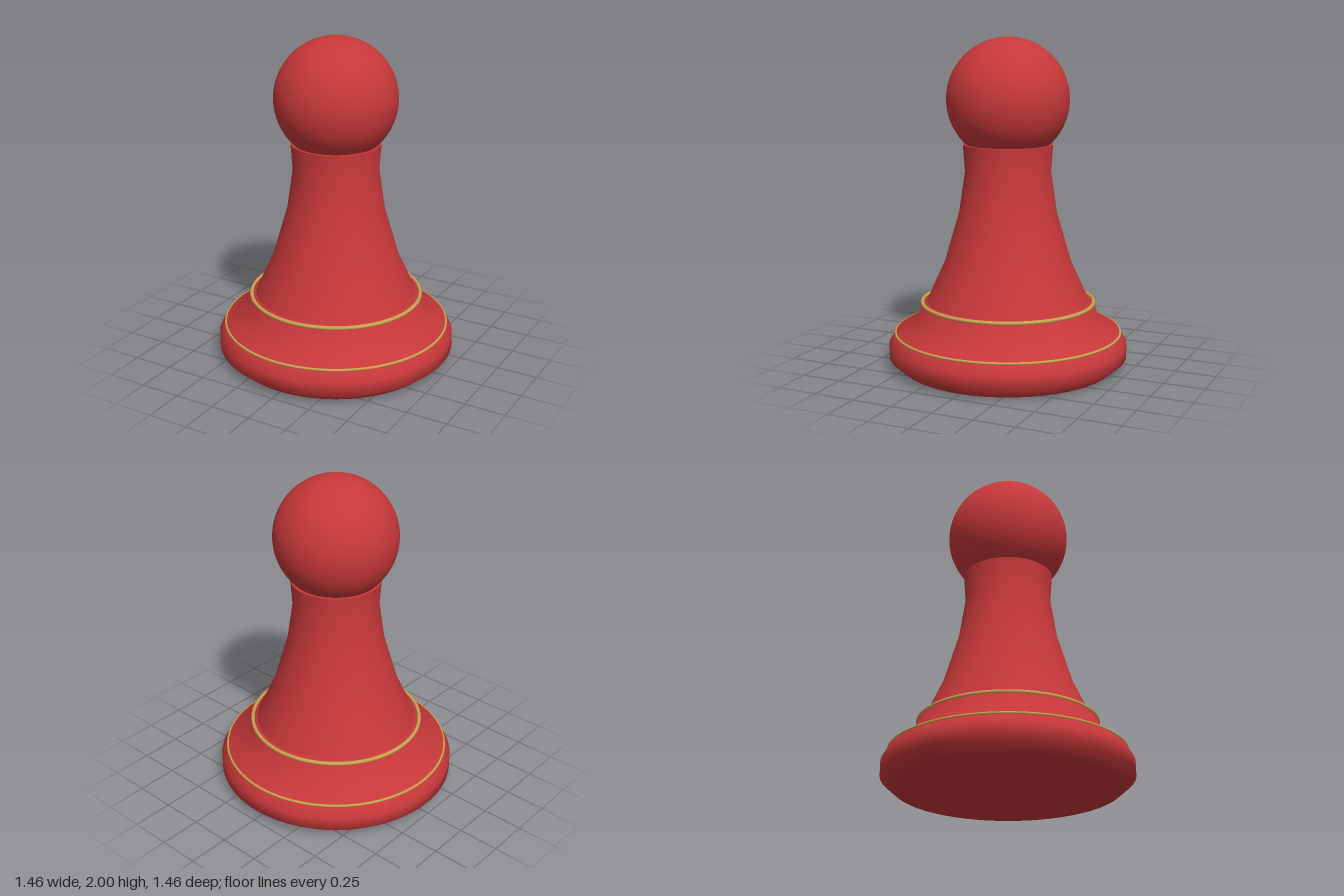
import * as THREE from 'three';

export function createModel() {
  const model = new THREE.Group();
  model.name = 'pawn';
  const red = new THREE.MeshStandardMaterial({ name: 'red', color: 0xc8383a });
  const gold = new THREE.MeshStandardMaterial({ name: 'gold', color: 0xc8a04f });

  const add = (name, geometry, material, y = 0) => {
    const mesh = new THREE.Mesh(geometry, material);
    mesh.name = name;
    mesh.position.y = y;
    model.add(mesh);
    return mesh;
  };
  const turned = (profile) =>
    new THREE.LatheGeometry(profile.map(([r, y]) => new THREE.Vector2(r, y)), 96);

  // Wide foot with a stepped shoulder
  add('base', turned([
    [0, 0], [0.66, 0], [0.73, 0.06], [0.73, 0.14], [0.685, 0.215],
    [0.56, 0.275], [0.53, 0.39], [0.497, 0.4],
  ]), red);

  // Tapering stem with a slightly flared collar
  add('stem', turned([
    [0.497, 0.4], [0.388, 0.635], [0.297, 0.945], [0.26, 1.195], [0.272, 1.36],
  ]), red);
  add('collarTop', turned([[0.272, 1.36], [0.2, 1.36]]), red);

  // Round head
  add('head', new THREE.SphereGeometry(0.37, 64, 48), red, 1.63);

  // Trim rings: name, radius, tube, height
  for (const [name, radius, tube, y] of [
    ['lowerRing', 0.69, 0.008, 0.207],
    ['upperRing', 0.525, 0.012, 0.392],
  ]) {
    add(name, new THREE.TorusGeometry(radius, tube, 12, 96), gold, y).rotation.x = Math.PI / 2;
  }
  return model;
}
